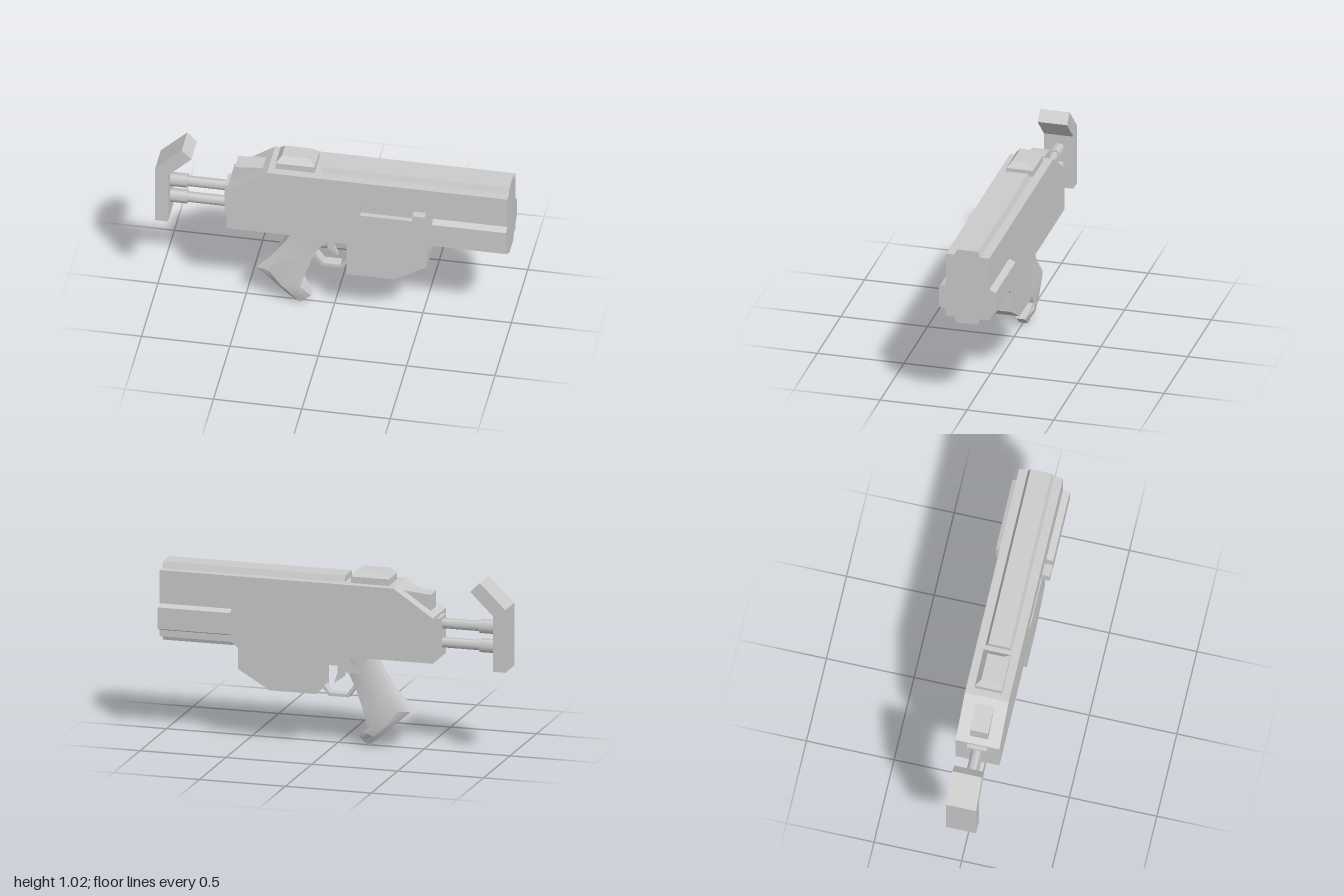
import * as THREE from 'three';
import { toCreasedNormals } from 'three/addons/utils/BufferGeometryUtils.js';

const material = new THREE.MeshStandardMaterial({ color: 0xcccccc });
const toShape = (pts) => new THREE.Shape(pts.map(([x, y]) => new THREE.Vector2(x, y)));

// Side profile (x, y) extruded from z0 to z1
function sideExtrude(pts, z0, z1, hole) {
  const shape = toShape(pts);
  if (hole) shape.holes.push(new THREE.Path(hole.map(([x, y]) => new THREE.Vector2(x, y))));
  return new THREE.ExtrudeGeometry(shape, { depth: z1 - z0, bevelEnabled: false }).translate(0, 0, z0);
}

// End profile (z, y) extruded from x0 to x1
function endExtrude(pts, x0, x1) {
  const shape = toShape(pts.map(([z, y]) => [-z, y]));
  return new THREE.ExtrudeGeometry(shape, { depth: x1 - x0, bevelEnabled: false })
    .rotateY(Math.PI / 2).translate(x0, 0, 0);
}

// Hexagonal rod along x
function rod(x0, x1, y, r) {
  return new THREE.CylinderGeometry(r, r, x1 - x0, 6).toNonIndexed()
    .rotateZ(Math.PI / 2).translate((x0 + x1) / 2, y, 0);
}

// Box whose top is shrunk by an inset, for the sight
function taperedBox(x0, x1, y0, y1, halfZ, insetX, insetZ) {
  const g = new THREE.BoxGeometry(x1 - x0, y1 - y0, halfZ * 2).toNonIndexed();
  const p = g.attributes.position;
  for (let i = 0; i < p.count; i++) {
    if (p.getY(i) > 0) {
      p.setX(i, p.getX(i) - Math.sign(p.getX(i)) * insetX);
      p.setZ(i, p.getZ(i) - Math.sign(p.getZ(i)) * insetZ);
    }
  }
  g.computeVertexNormals();
  return g.translate((x0 + x1) / 2, (y0 + y1) / 2, 0);
}

// Grip lofted through sections: back point, front point, half widths at back, middle, front
function gripGeometry() {
  const sections = [
    [-0.21, 0.54, 0.0, 0.54, 0.035, 0.05, 0.035],
    [-0.27, 0.42, -0.07, 0.42, 0.035, 0.05, 0.035],
    [-0.345, 0.315, -0.12, 0.32, 0.035, 0.053, 0.043],
    [-0.435, 0.22, -0.158, 0.22, 0.04, 0.06, 0.05],
    [-0.335, 0.13, -0.185, 0.13, 0.04, 0.06, 0.058],
    [-0.25, 0.055, -0.158, 0.09, 0.045, 0.058, 0.042],
    [-0.19, 0.0, -0.13, 0.05, 0.025, 0.025, 0.025],
  ];
  const pos = [], idx = [], n = 8;
  for (const [bx, by, fx, fy, wb, wm, wf] of sections) {
    const half = [[0, wb], [0.25, wm], [0.7, wm], [1, wf]];
    const ring = [...half, ...half.map(([t, w]) => [t, -w]).reverse()];
    for (const [t, z] of ring) pos.push(bx + (fx - bx) * t, by + (fy - by) * t, z);
  }
  for (let i = 0; i < sections.length - 1; i++) {
    for (let j = 0; j < n; j++) {
      const a = i * n + j, b = i * n + (j + 1) % n;
      idx.push(a, a + n, b, b, a + n, b + n);
    }
  }
  const last = (sections.length - 1) * n;
  for (let k = 1; k < n - 1; k++) idx.push(last, last + k + 1, last + k);
  const g = new THREE.BufferGeometry();
  g.setAttribute('position', new THREE.Float32BufferAttribute(pos, 3));
  g.setIndex(idx);
  return toCreasedNormals(g, 0.5);
}

export function createModel() {
  const model = new THREE.Group();
  const add = (name, geometry) => {
    const mesh = new THREE.Mesh(geometry, material);
    mesh.name = name;
    mesh.position.z = -0.003;
    model.add(mesh);
  };

  // Receiver with magazine housing; the outer layer carries the slot
  const body = [
    [-0.59, 0.53], [0.09, 0.53], [0.09, 0.303], [0.36, 0.303], [0.545, 0.413], [0.545, 0.53],
    [0.58, 0.565], [1, 0.565], [1, 0.945], [-0.36, 0.945], [-0.59, 0.79],
  ];
  const slot = [[0.165, 0.72], [0.165, 0.79], [0.54, 0.79], [0.505, 0.72]];
  add('receiver', sideExtrude(body, -0.125, 0.095));
  add('receiverSlotSide', sideExtrude(body, 0.095, 0.125, slot));
  add('chargingHandle', sideExtrude([[0.47, 0.72], [0.505, 0.72], [0.54, 0.79], [0.47, 0.79]], 0.09, 0.17));

  // Handguard: side rails and lower rib
  for (const s of [1, -1]) {
    add(s > 0 ? 'leftSideRail' : 'rightSideRail', endExtrude(
      [[s * 0.125, 0.755], [s * 0.163, 0.74], [s * 0.163, 0.617], [s * 0.125, 0.603]], 0.58, 1));
  }
  add('lowerRib', endExtrude([[-0.075, 0.565], [-0.063, 0.53], [0.063, 0.53], [0.075, 0.565]], 0.545, 1));

  // Top rail, sight and rear block
  add('topRail', endExtrude([[-0.075, 0.945], [0.075, 0.945], [0.06, 0.98], [-0.06, 0.98]], -0.06, 1));
  add('sightBase', taperedBox(-0.32, -0.1, 0.94, 0.982, 0.077, 0, 0));
  add('sightTop', taperedBox(-0.32, -0.1, 0.982, 1.018, 0.077, 0.03, 0.03));
  add('rearBlock', sideExtrude(
    [[-0.555, 0.8], [-0.36, 0.93], [-0.4, 0.92], [-0.555, 0.905]], -0.052, 0.052));

  // Stock: mounting plate, two rods with sleeves, shoulder piece
  add('stockPlate', new THREE.BoxGeometry(0.03, 0.19, 0.114).translate(-0.597, 0.68, 0));
  for (const [name, y] of [['upper', 0.735], ['lower', 0.625]]) {
    add(name + 'StockRod', rod(-0.84, -0.6, y, 0.03));
    add(name + 'StockSleeve', rod(-0.94, -0.83, y, 0.04));
  }
  add('shoulderPiece', sideExtrude(
    [[-1, 0.5], [-0.928, 0.5], [-0.928, 0.82], [-0.795, 0.95], [-0.85, 1.005], [-1, 0.86]], -0.085, 0.085));

  // Grip, trigger and guard
  add('grip', gripGeometry());
  add('gripBridge', sideExtrude(
    [[-0.2, 0.535], [-0.14, 0.42], [-0.07, 0.415], [-0.03, 0.455], [0.095, 0.455], [0.095, 0.535]], -0.05, 0.05));
  add('triggerGuard', sideExtrude([
    [-0.12, 0.34], [-0.07, 0.272], [0.045, 0.272], [0.088, 0.325], [0.088, 0.46],
    [0.072, 0.46], [0.072, 0.332], [0.038, 0.29], [-0.06, 0.29], [-0.105, 0.352],
  ], -0.03, 0.03));
  add('trigger', sideExtrude(
    [[-0.04, 0.46], [-0.038, 0.385], [0.02, 0.342], [0, 0.4], [0, 0.46]], -0.014, 0.014));

  return model;
}
